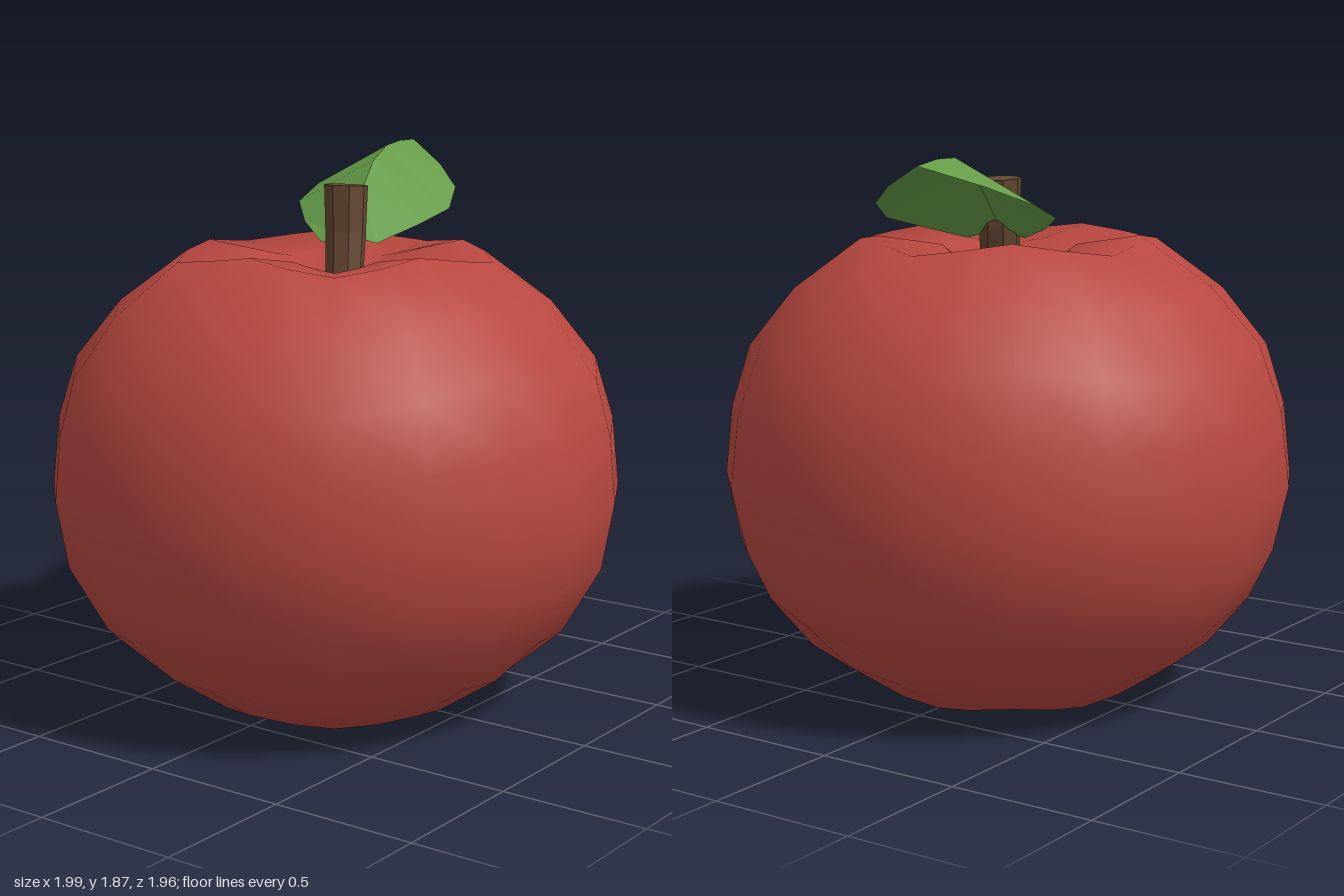
import * as THREE from 'three';
import { mergeVertices } from 'three/addons/utils/BufferGeometryUtils.js';

const material = (name, color, extra = {}) => {
  const m = new THREE.MeshStandardMaterial({ color, ...extra });
  m.name = name;
  return m;
};

// Rings from top to bottom: radius, height, and how far a lobe shifts each
const RINGS = [
  [0, 1.36, 0, 0], [0.25, 1.53, -0.01, 0.015], [0.505, 1.56, -0.045, 0.02],
  [0.735, 1.39, -0.035, 0.03], [0.89, 1.195, -0.02, 0.035], [0.955, 0.985, -0.005, 0.015],
  [0.98, 0.75, 0, 0], [0.935, 0.525, -0.005, 0.005], [0.83, 0.325, 0.02, 0.035],
  [0.665, 0.16, 0.045, 0.03], [0.455, 0.02, 0.035, 0.02], [0.24, 0.06, 0.01, 0.01],
  [0, 0.12, 0, 0],
];

// Five-lobed fruit with a dimple at each end
function fruitGeometry() {
  const sides = 20;
  let geo = new THREE.SphereGeometry(1, sides, RINGS.length - 1);
  const pos = geo.attributes.position;
  for (let i = 0; i < pos.count; i++) {
    const [r, y, dr, dy] = RINGS[Math.floor(i / (sides + 1))];
    const a = Math.PI - ((i % (sides + 1)) % sides) * 2 * Math.PI / sides;
    const lobe = -Math.cos(5 * a);
    const radius = r + dr * lobe;
    pos.setXYZ(i, radius * Math.cos(a) - 0.02, Math.max(0, y + dy * lobe), radius * Math.sin(a));
  }
  geo.deleteAttribute('normal');
  geo.deleteAttribute('uv');
  geo = mergeVertices(geo, 1e-4);
  geo.computeVertexNormals();
  return geo;
}

// Eight-sided stem, bending and widening towards the top
function stemGeometry() {
  const geo = new THREE.CylinderGeometry(0.076, 0.06, 0.47, 8, 3);
  const pos = geo.attributes.position;
  for (let i = 0; i < pos.count; i++) {
    const t = pos.getY(i) / 0.47 + 0.5;
    const bend = 1 - (1 - t) ** 2;
    pos.setXYZ(i, pos.getX(i) + 0.02 + 0.077 * bend,
      1.3 + 0.47 * t - 0.06 * pos.getX(i) * t, pos.getZ(i) - 0.042 * bend);
  }
  geo.computeVertexNormals();
  return geo;
}

// Leaf cross-sections from base to tip: back edge, midrib, front edge
function leafGeometry() {
  const sections = [
    [[0.06, 1.57, -0.12], [0.10, 1.60, -0.05], [0.15, 1.57, 0.05]],
    [[0.20, 1.62, -0.30], [0.28, 1.73, -0.11], [0.36, 1.62, 0.085]],
    [[0.35, 1.67, -0.44], [0.445, 1.825, -0.175], [0.54, 1.66, 0.09]],
    [[0.52, 1.72, -0.48], [0.61, 1.865, -0.235], [0.70, 1.72, 0.01]],
    [[0.74, 1.79, -0.435], [0.79, 1.87, -0.30], [0.84, 1.785, -0.15]],
    [[0.99, 1.86, -0.375], [0.99, 1.86, -0.375], [0.99, 1.86, -0.375]],
  ];
  const index = [];
  for (let i = 0; i < sections.length - 1; i++) {
    for (let j = 0; j < 2; j++) {
      const a = i * 3 + j, b = a + 1, c = a + 3, d = a + 4;
      index.push(a, b, c);
      if (i < sections.length - 2) index.push(b, d, c);
    }
  }
  const geo = new THREE.BufferGeometry();
  geo.setAttribute('position', new THREE.Float32BufferAttribute(sections.flat(2), 3));
  geo.setIndex(index);
  geo.computeVertexNormals();
  return geo;
}

export function createModel() {
  const model = new THREE.Group();
  model.name = 'apple';
  const add = (name, geo, mat) => {
    const mesh = new THREE.Mesh(geo, mat);
    mesh.name = name;
    model.add(mesh);
  };
  add('fruit', fruitGeometry(), material('red skin', 0xb84840));
  add('stem', stemGeometry(), material('brown bark', 0x634630, { flatShading: true }));
  add('leaf', leafGeometry(),
    material('leaf green', 0x659c48, { flatShading: true, side: THREE.DoubleSide }));
  return model;
}
